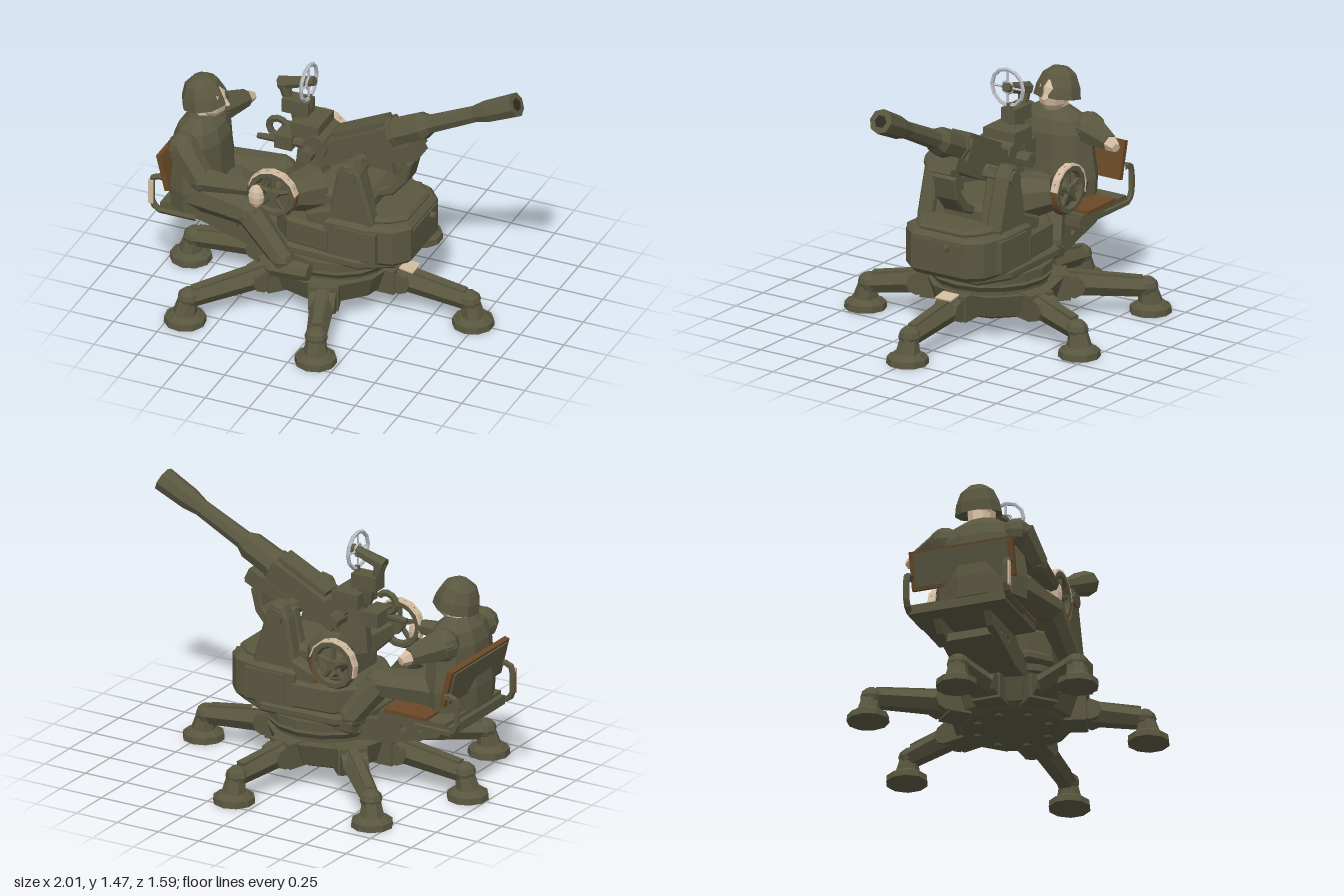
import * as THREE from 'three';

const mat = (name, color, side = THREE.FrontSide) => {
  const m = new THREE.MeshStandardMaterial({ color, side });
  m.name = name;
  return m;
};
const V = (x, y, z) => new THREE.Vector3(x, y, z);
const V2 = pts => pts.map(p => new THREE.Vector2(...p));

export function createModel() {
  const model = new THREE.Group();
  model.name = 'mountedGun';
  const olive = mat('olive', 0x5a5740);
  const dark = mat('darkOlive', 0x2f2d22);
  const tan = mat('tan', 0xd2bba0, THREE.DoubleSide);
  const brown = mat('brown', 0x6a4826, THREE.DoubleSide);
  const silver = mat('silver', 0xb8bbc3);

  // faceted mesh helper
  const add = (name, geo, m, pos = [0, 0, 0], rot = [0, 0, 0], parent = model) => {
    const g = geo.index ? geo.toNonIndexed() : geo;
    g.computeVertexNormals();
    const mesh = new THREE.Mesh(g, m);
    mesh.name = name;
    mesh.position.set(...pos);
    mesh.rotation.set(...rot);
    parent.add(mesh);
    return mesh;
  };
  const box = (name, size, pos, m = olive, rot, parent) => add(name, new THREE.BoxGeometry(...size), m, pos, rot, parent);
  const disc = (name, rTop, rBot, y0, y1, pos, n = 12, m = olive, parent) =>
    add(name, new THREE.CylinderGeometry(rTop, rBot, y1 - y0, n), m, [pos[0], (y0 + y1) / 2, pos[1]], [0, 0, 0], parent);
  // tapered rod between two points
  const rod = (name, a, b, ra, rb, m = olive, n = 7, parent = model) => {
    const A = V(...a), B = V(...b), d = B.clone().sub(A);
    const mesh = add(name, new THREE.CylinderGeometry(rb, ra, d.length(), n), m, [0, 0, 0], [0, 0, 0], parent);
    mesh.position.copy(A.add(B).multiplyScalar(0.5));
    mesh.quaternion.setFromUnitVectors(V(0, 1, 0), d.normalize());
    return mesh;
  };
  const blob = (name, r, pos, m = olive, scale = [1, 1, 1], parent) => {
    const mesh = add(name, new THREE.SphereGeometry(r, 8, 6), m, pos, [0, 0, 0], parent);
    mesh.scale.set(...scale);
    return mesh;
  };
  // side profile in x,y, extruded about z
  const plate = (name, pts, z, depth, bevel = 0.01, holes = []) => {
    const s = new THREE.Shape(V2(pts));
    for (const [x, y, r] of holes) s.holes.push(new THREE.Path().absarc(x, y, r, 0, Math.PI * 2, true));
    const g = new THREE.ExtrudeGeometry(s, { depth: depth - 2 * bevel, curveSegments: 4, bevelEnabled: bevel > 0,
      bevelThickness: bevel, bevelSize: bevel, bevelOffset: -bevel, bevelSegments: 1 });
    g.translate(0, 0, -depth / 2 + bevel);
    return add(name, g, olive, [0, 0, z]);
  };
  // plan outline in x,z (mirrored about z), extruded in y
  const slab = (name, half, y0, y1, bevel = 0.015) => {
    const pts = [...half, ...half.slice().reverse().map(([x, z]) => [x, -z])];
    const p = plate(name, pts, 0, y1 - y0, bevel);
    p.rotation.x = -Math.PI / 2;
    p.position.y = (y0 + y1) / 2;
  };

  // ---- base with six legs ----
  const cx = -0.08;
  disc('baseHub', 0.36, 0.32, 0.13, 0.25, [cx, 0], 12);
  disc('basePan', 0.3, 0.27, 0.105, 0.14, [cx, 0], 12);
  disc('baseRing', 0.3, 0.3, 0.25, 0.275, [cx + 0.03, 0], 16);
  disc('bearingRing', 0.33, 0.31, 0.275, 0.305, [cx + 0.04, 0], 16);
  disc('bearingGap', 0.29, 0.29, 0.3, 0.325, [cx + 0.04, 0], 16);
  disc('turntable', 0.33, 0.33, 0.322, 0.37, [cx + 0.04, 0], 16);
  for (let i = 0; i < 8; i++) {
    const a = i * Math.PI / 4;
    disc('baseBolt', 0.025, 0.02, 0.095, 0.11, [cx + 0.2 * Math.cos(a), 0.2 * Math.sin(a)], 6);
  }
  const feet = [[0.73, 0], [0.13, 0.68], [-0.66, 0.59], [-0.89, 0], [-0.66, -0.59], [0.13, -0.68]];
  for (const [fx, fz] of feet) {
    const leg = new THREE.Group();
    leg.name = 'leg';
    const dx = fx - cx, L = Math.hypot(dx, fz);
    leg.position.x = cx;
    leg.rotation.y = Math.atan2(-fz, dx);
    model.add(leg);
    rod('legBeam', [0.32, 0.195, 0], [L - 0.03, 0.14, 0], 0.07, 0.055, olive, 6, leg);
    box('legRib', [L - 0.42, 0.03, 0.05], [(L + 0.34) / 2, 0.215, 0], olive, [0, 0, -0.15], leg);
    box('legRoot', [0.14, 0.14, 0.16], [0.32, 0.185, 0], olive, [0, 0, 0], leg);
    rod('legHinge', [0.41, 0.18, -0.07], [0.41, 0.18, 0.07], 0.06, 0.06, olive, 8, leg);
    disc('footPad', 0.11, 0.113, 0, 0.035, [L, 0], 10, olive, leg);
    disc('footStep', 0.075, 0.1, 0.035, 0.058, [L, 0], 10, olive, leg);
    rod('footNeck', [L, 0.05, 0], [L - 0.015, 0.14, 0], 0.068, 0.05, olive, 7, leg);
    blob('ankle', 0.062, [L - 0.02, 0.142, 0], olive, [1, 0.9, 1], leg);
  }
  box('markerPlate', [0.08, 0.008, 0.1], [0.365, 0.262, 0], tan, [0, 0, -0.16]);

  // ---- turret body ----
  slab('turretFloor', [[-0.36, 0.2], [-0.25, 0.29], [0.2, 0.3], [0.38, 0.2]], 0.36, 0.42);
  slab('turretBox', [[0.0, 0.285], [0.22, 0.29], [0.38, 0.25], [0.45, 0.17]], 0.39, 0.63, 0.025);
  slab('turretLid', [[-0.02, 0.25], [0.2, 0.255], [0.34, 0.21], [0.42, 0.14]], 0.62, 0.66);
  slab('rearBody', [[-0.32, 0.17], [-0.22, 0.27], [0.02, 0.29]], 0.41, 0.57, 0.02);
  slab('pedestal', [[-0.24, 0.15], [-0.12, 0.2], [0.14, 0.2], [0.22, 0.14]], 0.55, 0.74, 0.03);
  box('frontLip', [0.03, 0.02, 0.3], [0.445, 0.585, 0]);
  rod('frontLatch', [0.43, 0.57, -0.06], [0.49, 0.57, -0.06], 0.022, 0.018);
  for (const s of [-1, 1]) {
    box('sideLocker', [0.24, 0.17, 0.03], [0.18, 0.51, s * 0.285]);
    plate('cheek', [[-0.1, 0.54], [0.06, 0.5], [0.25, 0.55], [0.27, 0.64], [0.19, 0.92], [0.15, 0.975], [0.09, 0.96], [0.06, 0.9], [0.02, 0.68], [-0.12, 0.62]], s * 0.22, 0.09, 0.015);
    plate('innerCheek', [[0, 0.6], [0.24, 0.62], [0.16, 0.95], [0.07, 0.92]], s * 0.145, 0.06);
    rod('trunnion', [0.13, 0.9, s * 0.08], [0.13, 0.9, s * 0.28], 0.05, 0.045, olive, 8);
    rod('gearHousing', [-0.13, 0.7, s * 0.14], [-0.2, 0.73, s * 0.29], 0.13, 0.09, olive, 8);
  }
  plate('elevatingArc', [[0.2, 0.68], [0.3, 0.72], [0.375, 0.81], [0.405, 0.93], [0.35, 0.96], [0.33, 0.85], [0.27, 0.77], [0.18, 0.72]], 0, 0.14);

  // ---- gun, pitched upward ----
  const gun = new THREE.Group();
  gun.name = 'gun';
  gun.position.set(0, 0.932, 0);
  gun.rotation.z = 0.455;
  model.add(gun);
  const along = (name, x0, x1, r0, r1, n = 8, m = olive) => rod(name, [x0, 0, 0], [x1, 0, 0], r0, r1, m, n, gun);
  box('receiver', [0.46, 0.13, 0.18], [0.08, -0.005, 0], olive, [0, 0, 0], gun);
  box('receiverCover', [0.32, 0.04, 0.12], [0.14, 0.07, 0], olive, [0, 0, 0], gun);
  box('breechBlock', [0.1, 0.1, 0.13], [-0.16, -0.02, 0], olive, [0, 0, 0], gun);
  box('recoilCradle', [0.34, 0.07, 0.19], [0.24, -0.095, 0], olive, [0, 0, 0], gun);
  box('cradleNose', [0.08, 0.06, 0.14], [0.37, -0.13, 0], olive, [0, 0, 0], gun);
  along('barrelCollar', 0.26, 0.33, 0.092, 0.088);
  along('barrelSleeve', 0.3, 0.49, 0.08, 0.077);
  along('sleeveTaper', 0.49, 0.54, 0.077, 0.052);
  along('barrel', 0.5, 0.86, 0.053, 0.046);
  along('muzzleTaper', 0.83, 0.91, 0.047, 0.062);
  along('muzzle', 0.91, 1.09, 0.062, 0.068);
  along('bore', 1.06, 1.093, 0.036, 0.036, 6, dark);

  // ---- sight with silver aiming ring ----
  rod('sightColumn', [-0.19, 0.7, 0], [-0.19, 0.96, 0], 0.1, 0.075);
  box('sightBase', [0.16, 0.08, 0.2], [-0.195, 1.005, 0]);
  rod('sightDrive', [-0.13, 0.93, -0.1], [-0.13, 0.93, 0.12], 0.07, 0.07, olive, 8);
  rod('sightDriveShaft', [-0.16, 0.9, -0.18], [-0.16, 0.9, 0.18], 0.04, 0.04);
  rod('sightNeck', [-0.26, 0.98, 0], [-0.27, 1.09, 0], 0.04, 0.05);
  box('sightBlock', [0.15, 0.08, 0.09], [-0.275, 1.1, 0]);
  rod('sightArm', [-0.33, 1.11, 0], [-0.355, 1.21, 0], 0.026, 0.035);
  rod('sightTube', [-0.38, 1.205, 0], [-0.18, 1.265, 0], 0.038, 0.026);
  rod('sightPost', [-0.21, 1.1, 0], [-0.21, 1.17, 0], 0.02, 0.015);
  const ringTurn = [0, Math.PI / 2, 0];
  add('aimingRing', new THREE.TorusGeometry(0.1, 0.011, 5, 12), silver, [-0.21, 1.255, 0.01], ringTurn);
  add('aimingRingInner', new THREE.TorusGeometry(0.035, 0.007, 4, 8), silver, [-0.21, 1.255, 0.01], ringTurn);
  for (let i = 0; i < 4; i++) {
    const a = i * Math.PI / 2, c = Math.cos(a), s = Math.sin(a);
    rod('ringSpoke', [-0.21, 1.255 + 0.035 * s, 0.01 + 0.035 * c], [-0.21, 1.255 + 0.1 * s, 0.01 + 0.1 * c], 0.007, 0.007, silver, 4);
  }
  // gear and levers behind the sight
  add('sightGear', new THREE.TorusGeometry(0.055, 0.02, 5, 9, Math.PI * 1.5), olive, [-0.36, 0.97, 0.06], [0, 0, 0.6]);
  rod('sightLever', [-0.48, 0.89, 0.06], [-0.2, 0.91, 0.06], 0.016, 0.03);
  box('leverBlock', [0.1, 0.08, 0.16], [-0.32, 0.905, 0.02]);

  // ---- handwheels with a painted band: pale above, brown below in front ----
  const bandProfile = V2([[0.132, -0.023], [0.141, -0.02], [0.141, 0.02], [0.132, 0.023]]);
  for (const s of [-1, 1]) {
    const wheel = new THREE.Group();
    wheel.name = 'handwheel';
    wheel.position.set(-0.27, 0.74, s * 0.335);
    model.add(wheel);
    add('rim', new THREE.TorusGeometry(0.116, 0.023, 6, 14), olive, [0, 0, 0], [0, 0, 0], wheel);
    for (const [m, from, to, profile] of [[tan, 0.15, 3.5, bandProfile], [brown, -1.05, 0.15, bandProfile.slice(1, 3)]])
      add('rimBand', new THREE.LatheGeometry(profile, 7, from + Math.PI / 2, to - from), m, [0, 0, 0], [Math.PI / 2, 0, 0], wheel);
    rod('hub', [0, 0, -s * 0.06], [0, 0, s * 0.025], 0.045, 0.03, olive, 8, wheel);
    for (let i = 0; i < 5; i++) {
      const a = i * Math.PI * 0.4 + 0.3;
      rod('spoke', [0, 0, 0], [0.115 * Math.cos(a), 0.115 * Math.sin(a), 0], 0.016, 0.013, olive, 5, wheel);
    }
  }

  // ---- seat ----
  box('seatPan', [0.44, 0.05, 0.54], [-0.72, 0.465, 0.02]);
  box('seatBase', [0.4, 0.025, 0.56], [-0.71, 0.495, 0.02]);
  box('seatCushion', [0.26, 0.02, 0.58], [-0.67, 0.513, 0.02], brown);
  box('backrest', [0.03, 0.21, 0.58], [-0.905, 0.7, 0.04], brown, [0, 0, 0.24]);
  box('backrestPanel', [0.012, 0.185, 0.53], [-0.923, 0.695, 0.04], olive, [0, 0, 0.24]);
  for (const z of [-0.25, 0.31]) {
    const path = new THREE.CatmullRomCurve3([V(-0.72, 0.46, z), V(-0.94, 0.46, z), V(-0.975, 0.5, z), V(-0.975, 0.64, z), V(-0.95, 0.665, z), V(-0.9, 0.66, z)], false, 'catmullrom', 0.1);
    add('seatRail', new THREE.TubeGeometry(path, 14, 0.018, 5), olive);
  }
  box('railGrip', [0.028, 0.14, 0.008], [-0.975, 0.57, 0.329], tan);
  for (const z of [-0.13, 0.15])
    plate('seatBracket', [[-0.84, 0.44], [-0.8, 0.37], [-0.47, 0.27], [-0.25, 0.27], [-0.25, 0.38], [-0.42, 0.4], [-0.48, 0.45]], z, 0.04, 0, [[-0.68, 0.39, 0.018], [-0.58, 0.38, 0.02]]);
  box('seatBeam', [0.5, 0.05, 0.25], [-0.5, 0.32, 0.01], olive, [0, 0, -0.2]);

  // ---- seated gunner, facing along the barrel ----
  const torso = [[0.001, 0.49], [0.155, 0.5], [0.16, 0.62], [0.148, 0.74], [0.14, 0.86], [0.115, 0.93], [0.055, 0.985], [0.001, 0.99]];
  add('torso', new THREE.LatheGeometry(V2(torso), 10), olive, [-0.78, 0, 0.1]).scale.z = 1.62;
  blob('jacketHem', 0.15, [-0.64, 0.56, 0.09], olive, [1.1, 0.6, 1.3]);
  rod('neck', [-0.78, 0.94, 0.09], [-0.77, 1.05, 0.08], 0.065, 0.06, tan);
  blob('face', 0.085, [-0.735, 1.06, 0.08], tan, [1, 1.15, 0.95]);
  rod('nose', [-0.665, 1.06, 0.08], [-0.635, 1.045, 0.08], 0.028, 0.01, tan, 4);
  const helmet = [[0.001, -0.02], [0.128, -0.07], [0.118, -0.01], [0.09, 0.055], [0.045, 0.088], [0.001, 0.092]];
  add('helmet', new THREE.LatheGeometry(V2(helmet), 9), olive, [-0.785, 1.1, 0.08], [0, 0, 0.2]);
  // left arm to its handwheel, right arm held out
  blob('leftShoulder', 0.085, [-0.8, 0.87, 0.3]);
  rod('leftUpperArm', [-0.8, 0.88, 0.31], [-0.67, 0.74, 0.36], 0.088, 0.068);
  blob('leftElbow', 0.067, [-0.67, 0.74, 0.36]);
  rod('leftForearm', [-0.68, 0.74, 0.36], [-0.4, 0.745, 0.345], 0.066, 0.04);
  blob('leftHand', 0.05, [-0.36, 0.71, 0.35], tan, [0.9, 1.4, 0.7]);
  blob('rightShoulder', 0.09, [-0.8, 0.88, -0.1]);
  rod('rightArm', [-0.8, 0.88, -0.1], [-0.71, 0.86, -0.3], 0.09, 0.048);
  rod('rightHand', [-0.71, 0.86, -0.3], [-0.69, 0.85, -0.35], 0.044, 0.025, tan, 6);
  // legs
  for (const [name, hip, knee, ankle, heel, toe] of [
    ['left', [-0.78, 0.59, 0.24], [-0.41, 0.595, 0.335], [-0.2, 0.38, 0.375], [-0.25, 0.33, 0.38], [-0.04, 0.335, 0.385]],
    ['right', [-0.78, 0.59, -0.03], [-0.42, 0.595, -0.12], [-0.3, 0.41, -0.21], [-0.33, 0.37, -0.21], [-0.16, 0.37, -0.23]]]) {
    rod(name + 'Thigh', hip, knee, 0.105, 0.08);
    blob(name + 'Knee', 0.081, knee);
    rod(name + 'Shin', knee, ankle, 0.08, 0.062);
    blob(name + 'Ankle', 0.064, ankle);
    rod(name + 'Boot', heel, toe, 0.06, 0.045);
  }
  return model;
}
